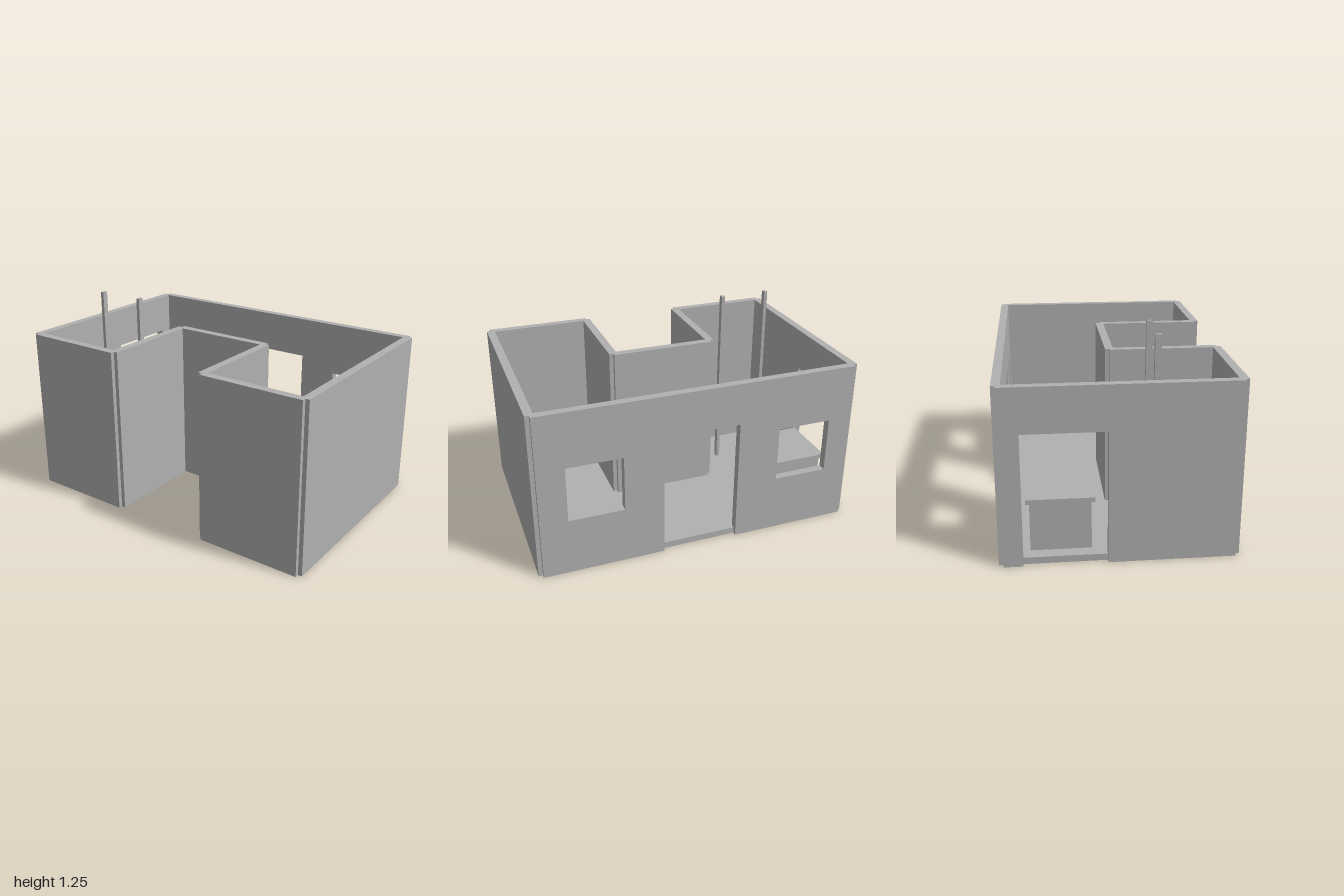
import * as THREE from 'three';

const WALL_H = 1.04, WALL_T = 0.05, FLOOR_T = 0.04;
const X = 0.975, Z = 0.65, NX = 0.325; // wall centre lines

export function createModel() {
  const model = new THREE.Group();
  const grey = new THREE.MeshStandardMaterial({ color: 0xb0b0b0 });
  grey.name = 'plain grey';

  function add(geometry, name) {
    const mesh = new THREE.Mesh(geometry, grey);
    mesh.name = name;
    model.add(mesh);
    return mesh;
  }

  // Box given by its limits on each axis
  function box(name, x0, x1, y0, y1, z0, z1) {
    add(new THREE.BoxGeometry(x1 - x0, y1 - y0, z1 - z0), name)
      .position.set((x0 + x1) / 2, (y0 + y1) / 2, (z0 + z1) / 2);
  }

  // Wall along a centre line; door and windows are measured from its start
  function wall(name, x0, z0, x1, z1, door, windows = []) {
    const length = Math.hypot(x1 - x0, z1 - z0);
    const s = new THREE.Shape();
    s.moveTo(0, 0);
    if (door) {
      const [a, b, top] = door;
      s.lineTo(a, 0);
      s.lineTo(a, top);
      s.lineTo(b, top);
      s.lineTo(b, 0);
    }
    s.lineTo(length, 0);
    s.lineTo(length, WALL_H);
    s.lineTo(0, WALL_H);
    s.closePath();
    for (const [a, b, low, high] of windows) {
      const h = new THREE.Path();
      h.moveTo(a, low);
      h.lineTo(a, high);
      h.lineTo(b, high);
      h.lineTo(b, low);
      h.closePath();
      s.holes.push(h);
    }
    const g = new THREE.ExtrudeGeometry(s, { depth: WALL_T, bevelEnabled: false });
    g.translate(0, 0, -WALL_T / 2);
    const mesh = add(g, name);
    mesh.position.set(x0, 0, z0);
    mesh.rotation.y = Math.atan2(-(z1 - z0), x1 - x0);
  }

  // U-shaped floor slab
  const plan = new THREE.Shape([
    [-X, -Z], [-NX, -Z], [-NX, 0], [NX, 0], [NX, -Z], [X, -Z], [X, Z], [-X, Z],
  ].map(([x, y]) => new THREE.Vector2(x, y)));
  const floor = new THREE.ExtrudeGeometry(plan, { depth: FLOOR_T, bevelEnabled: false });
  floor.rotateX(-Math.PI / 2);
  add(floor, 'floor');

  // Outer walls
  wall('backWall', -X, -Z, X, -Z, [X - 0.235, X + 0.235, 0.78], [
    [X - 0.83, X - 0.495, 0.355, 0.7],
    [X + 0.475, X + 0.81, 0.355, 0.7],
  ]);
  wall('rightWall', -X, -Z, -X, Z, [Z - 0.54, Z - 0.07, 0.78]);
  wall('leftWall', X, -Z, X, Z);

  // Two front wings around the entrance court
  wall('courtBackWall', -NX, 0, NX, 0);
  for (const [side, label] of [[-1, 'right'], [1, 'left']]) {
    wall(label + 'CourtWall', side * NX, 0, side * NX, Z);
    wall(label + 'FrontWall', side * NX, Z, side * X, Z);
    const inner = side * 0.378, outer = side * 0.922;
    box(label + 'Bench', Math.min(inner, outer), Math.max(inner, outer), FLOOR_T, 0.3, 0.47, 0.62);
  }

  // Table with a solid base
  box('tableTop', -0.92, -0.575, 0.335, 0.362, -0.52, -0.135);
  box('tableBase', -0.9, -0.595, FLOOR_T, 0.335, -0.5, -0.155);

  // Pair of tall posts
  for (const x of [-0.808, -0.498]) {
    box('post', x - 0.011, x + 0.011, FLOOR_T, 1.25, 0.195, 0.23);
  }

  return model;
}
